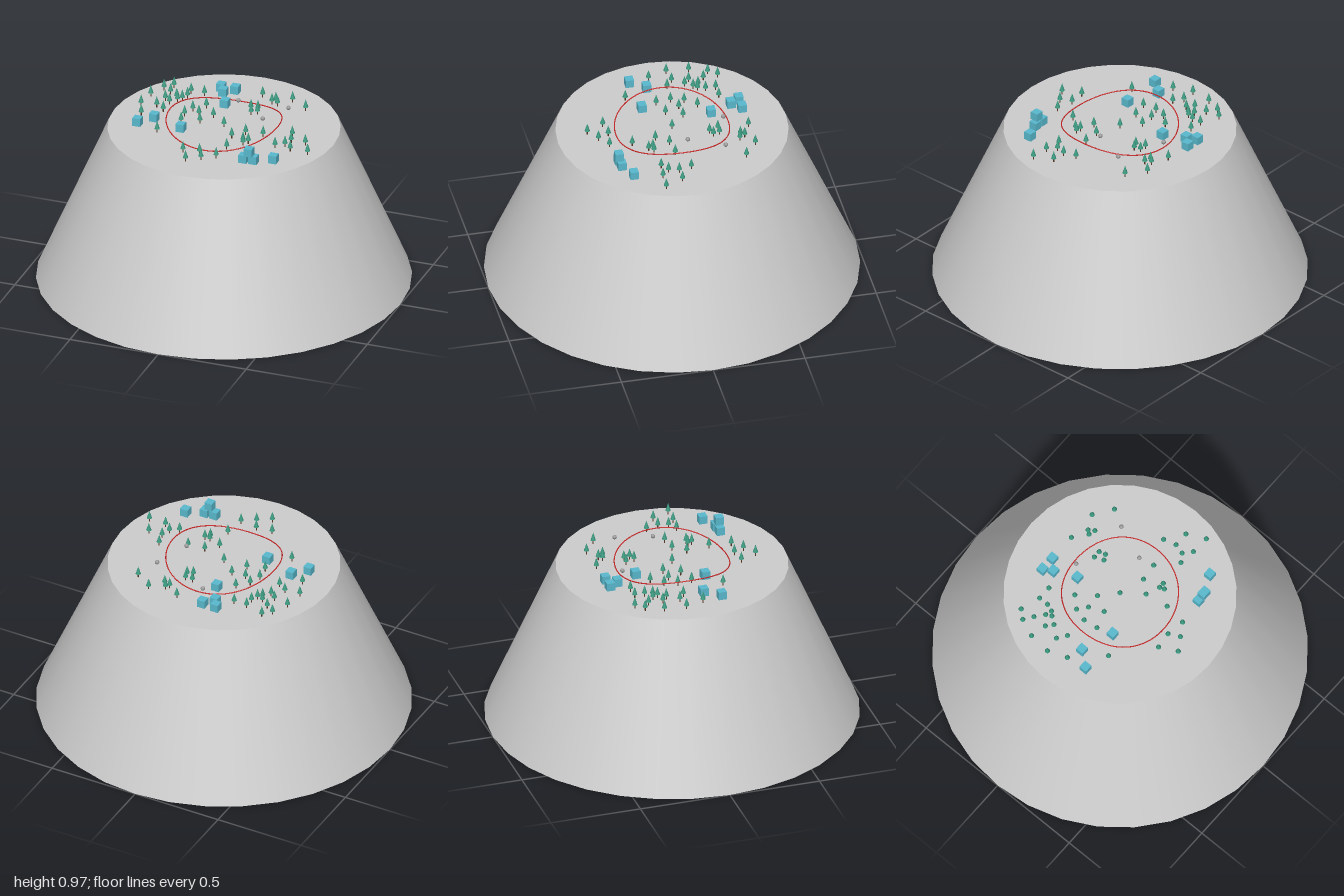
import * as THREE from 'three';

const TOP = 0.88; // height of the plateau

// x, z of each tree
const TREES = [
  -.41, -.34, -.45, -.295, -.40, -.26, -.49, -.20, -.40, -.18, -.35, -.22, -.30, -.25, -.30, -.305, -.225, -.305,
  -.315, -.21, -.335, -.19, -.365, -.15, -.50, -.08, -.415, -.09, -.365, -.055, -.46, .025, -.165, -.175, -.22, -.115,
  -.17, -.075, -.09, -.08, -.24, -.045, -.135, .005, -.23, .035, 0, 0, -.31, .185, .07, -.40, .24, -.40,
  .16, -.36, .145, -.34, .18, -.33, .34, -.33, .065, -.235, .105, -.235, .085, -.185, .115, -.20, .14, .045,
  .235, .035, .085, .11, .16, .14, .19, .14, .17, .165, .105, .24, .38, -.02, .40, .05, .48, .05,
  .385, .105, .34, .135, .43, .145, .53, .15, -.10, .355, -.01, .345, .09, .36, .02, .405, -.05, .45,
];

// x, z and level (0 = on the ground, 1 = stacked) of each block
const BLOCKS = [
  [-.165, -.40, 0], [-.085, -.40, 0], [-.135, -.35, 0], [-.08, -.23, 0], [-.375, .055, 0], [-.44, .135, 0],
  [-.20, .12, 0], [.24, .345, 0], [.295, .34, 0], [.272, .35, 1], [.39, .295, 0],
];

// x, y, z of each stone
const STONES = [[.28, .935, -.23], [.205, .948, -.04], [-.025, .90, -.285]];

const paint = (color) => new THREE.MeshStandardMaterial({ color });

// Closed loop that rises towards its left and right ends
class TrackCurve extends THREE.Curve {
  getPoint(t, target = new THREE.Vector3()) {
    const a = t * Math.PI * 2;
    const r = 0.305 * (1 + 0.01 * (1 - Math.cos(4 * a)));
    return target.set(r * Math.cos(a), TOP + 0.006 + 0.05 * Math.cos(a) ** 2, r * Math.sin(a));
  }
}

export function createModel() {
  const model = new THREE.Group();
  const add = (parent, name, geometry, material, x, y, z) => {
    const mesh = new THREE.Mesh(geometry, material);
    mesh.name = name;
    mesh.position.set(x, y, z);
    parent.add(mesh);
    return mesh;
  };
  const addGroup = (name) => {
    const group = new THREE.Group();
    group.name = name;
    model.add(group);
    return group;
  };

  // Truncated cone
  add(model, 'hill', new THREE.CylinderGeometry(0.62, 1, TOP, 32), paint(0xcccccc), 0, TOP / 2, 0);

  // Thin raised loop
  add(model, 'track', new THREE.TubeGeometry(new TrackCurve(), 100, 0.003, 8, true), paint(0xcc2222), 0, 0, 0);

  // Trees: a thin trunk under a pointed crown
  const trunkGeo = new THREE.CylinderGeometry(0.003, 0.003, 0.03, 8);
  const crownGeo = new THREE.ConeGeometry(0.014, 0.045, 12);
  const trunkMat = paint(0x5a3a22), crownMat = paint(0x3a9a80);
  const forest = addGroup('trees');
  for (let i = 0; i < TREES.length; i += 2) {
    const tree = new THREE.Group();
    tree.name = 'tree';
    tree.position.set(TREES[i], TOP, TREES[i + 1]);
    add(tree, 'trunk', trunkGeo, trunkMat, 0, 0.015, 0);
    add(tree, 'crown', crownGeo, crownMat, 0, 0.0455, 0);
    forest.add(tree);
  }

  // Blocks
  const size = 0.045;
  const blockGeo = new THREE.BoxGeometry(size, size, size);
  const blockMat = paint(0x58b8cc);
  const blocks = addGroup('blocks');
  for (const [x, z, level] of BLOCKS) {
    add(blocks, 'block', blockGeo, blockMat, x, TOP + size * (level + 0.5), z);
  }

  // Small stones
  const stoneGeo = new THREE.SphereGeometry(0.012, 12, 8);
  const stoneMat = paint(0x999999);
  const stones = addGroup('stones');
  for (const p of STONES) add(stones, 'stone', stoneGeo, stoneMat, ...p);

  return model;
}
